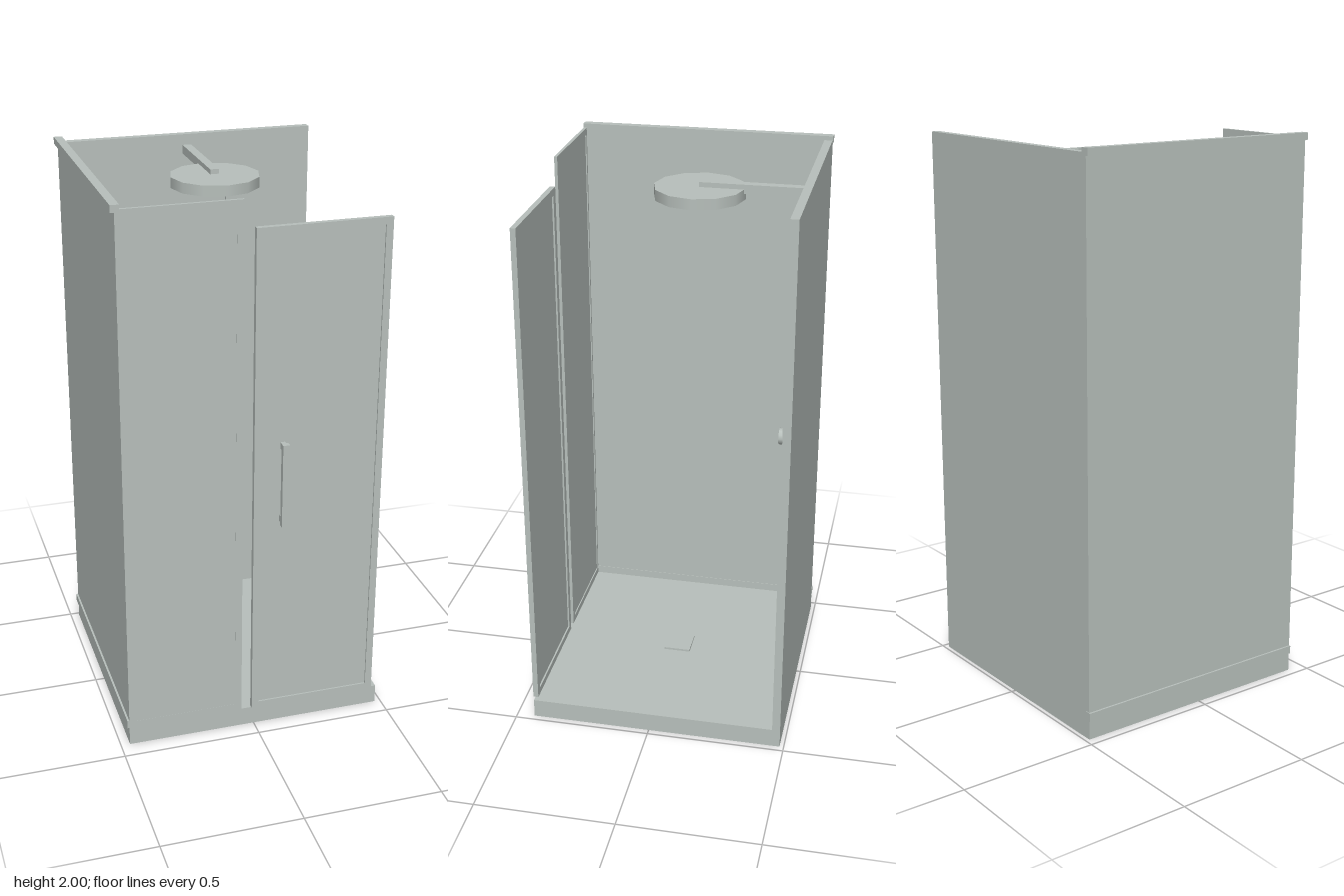
import * as THREE from 'three';

export function createModel() {
  const group = new THREE.Group();
  group.name = 'showerCubicle';
  const paleGrey = new THREE.MeshStandardMaterial({ color: 0xb8c0bc });
  paleGrey.name = 'paleGrey';

  const add = (name, geometry, parent = group) => {
    const mesh = new THREE.Mesh(geometry, paleGrey);
    mesh.name = name;
    parent.add(mesh);
    return mesh;
  };
  // Box given by its minimum and maximum on each axis
  const box = (name, [x0, x1], [y0, y1], [z0, z1], parent) => {
    const mesh = add(name, new THREE.BoxGeometry(x1 - x0, y1 - y0, z1 - z0), parent);
    mesh.position.set((x0 + x1) / 2, (y0 + y1) / 2, (z0 + z1) / 2);
    return mesh;
  };
  // Slim frame around a recessed pane, lying in the xy plane
  const framedPanel = (name, [x0, x1], [y0, y1], [z0, z1], rim, [p0, p1]) => {
    const panel = new THREE.Group();
    panel.name = name;
    group.add(panel);
    const shape = new THREE.Shape([
      new THREE.Vector2(x0, y0), new THREE.Vector2(x1, y0),
      new THREE.Vector2(x1, y1), new THREE.Vector2(x0, y1)]);
    shape.holes.push(new THREE.Path([
      new THREE.Vector2(x0 + rim, y0 + rim), new THREE.Vector2(x0 + rim, y1 - rim),
      new THREE.Vector2(x1 - rim, y1 - rim), new THREE.Vector2(x1 - rim, y0 + rim)]));
    const frame = new THREE.ExtrudeGeometry(shape, { depth: z1 - z0, bevelEnabled: false });
    add(name + 'Frame', frame, panel).position.z = z0;
    box(name + 'Pane', [x0 + rim, x1 - rim], [y0 + rim, y1 - rim], [p0, p1], panel);
  };

  // Tray and drain
  box('tray', [-0.467, 0.478], [0, 0.07], [-0.485, 0.435]);
  box('drain', [-0.045, 0.055], [0.068, 0.078], [-0.07, 0.03]);

  // Back wall and side wall with its rails
  box('backWall', [-0.467, 0.478], [0.07, 1.985], [-0.485, -0.456]);
  box('sideWall', [-0.467, -0.452], [0.07, 1.985], [-0.456, 0.424]);
  box('sideTopRail', [-0.48, -0.45], [1.975, 2], [-0.488, 0.435]);
  box('sideBottomRail', [-0.474, -0.45], [0.07, 0.1], [-0.487, 0.435]);

  // Fixed front panel and hinged door
  framedPanel('fixedPanel', [-0.467, -0.047], [0.07, 1.985], [0.424, 0.435], 0.025, [0.428, 0.4345]);
  framedPanel('door', [-0.01, 0.457], [0.07, 1.89], [0.424, 0.443], 0.025, [0.43, 0.437]);

  // Door handle
  const handle = new THREE.Group();
  handle.name = 'doorHandle';
  group.add(handle);
  box('handleBar', [0.078, 0.102], [0.828, 1.138], [0.467, 0.486], handle);
  for (const y of [0.845, 1.121]) {
    box('handleStandoff', [0.082, 0.098], [y - 0.012, y + 0.012], [0.443, 0.468], handle);
  }

  // Overhead shower
  const head = add('showerHead', new THREE.CylinderGeometry(0.158, 0.158, 0.038, 12));
  head.position.set(0.006, 1.91, -0.088);
  box('showerArm', [-0.01, 0.022], [1.914, 1.946], [-0.456, -0.088]);

  // Mixer valve and slide bar
  box('valvePlate', [-0.094, 0.106], [0.968, 1.066], [-0.457, -0.447]);
  const knob = add('valveKnob', new THREE.CylinderGeometry(0.03, 0.03, 0.062, 12));
  knob.rotation.x = Math.PI / 2;
  knob.position.set(0.006, 1.016, -0.418);
  box('slideBar', [0.153, 0.173], [0.37, 1.79], [-0.457, -0.446]);

  return group;
}
